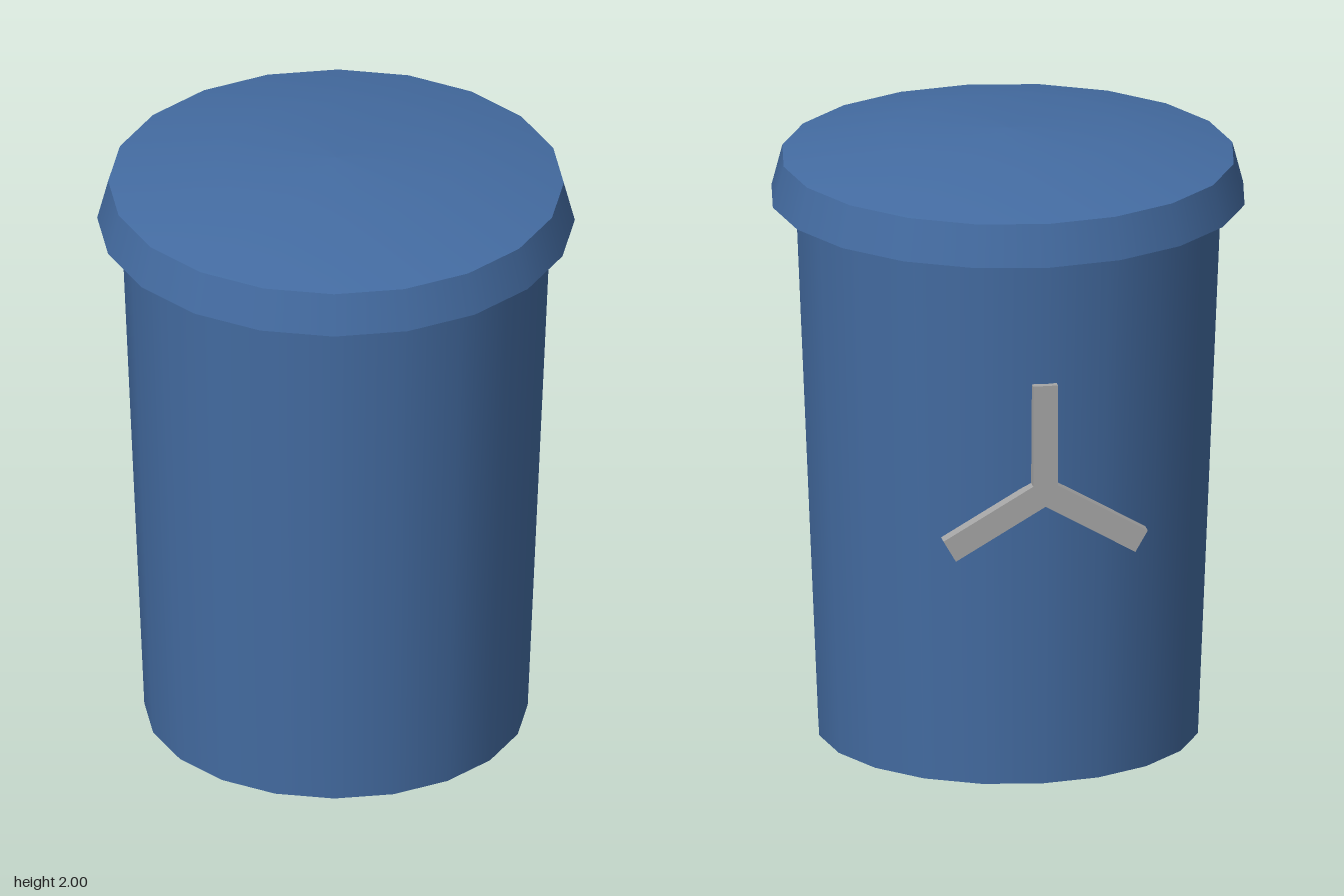
import * as THREE from 'three';

const SIDES = 20;

// Revolved surface, smooth within one profile; separate profiles keep creases sharp
function lathe(name, profile, material) {
  const points = profile.map(([r, y]) => new THREE.Vector2(r, y));
  const mesh = new THREE.Mesh(new THREE.LatheGeometry(points, SIDES), material);
  mesh.name = name;
  return mesh;
}

export function createModel() {
  const blue = new THREE.MeshStandardMaterial({ color: 0x446ca2 });
  blue.name = 'blue plastic';
  const grey = new THREE.MeshStandardMaterial({ color: 0xa6a6a6 });
  grey.name = 'grey metal';

  const model = new THREE.Group();
  model.name = 'lidded bin';

  // Tapered container
  const body = new THREE.Group();
  body.name = 'body';
  body.add(
    lathe('bodyBase', [[0, 0], [0.61, 0]], blue),
    lathe('bodyWall', [[0.61, 0], [0.683, 1.76]], blue),
    lathe('bodyLip', [[0.683, 1.76], [0.695, 1.775]], blue)
  );

  // Overhanging lid with a shallow dome
  const lid = new THREE.Group();
  lid.name = 'lid';
  lid.add(
    lathe('lidUnderside', [[0, 1.775], [0.76, 1.775]], blue),
    lathe('lidRim', [[0.76, 1.775], [0.725, 1.91]], blue),
    lathe('lidDome', [[0.725, 1.91], [0.38, 1.985], [0, 2]], blue)
  );

  // Three-armed bracket on the back: one outline, extruded
  const halfWidth = 0.04, length = 0.358, inner = halfWidth / Math.sin(Math.PI / 3);
  const outline = [];
  for (let i = 0; i < 3; i++) {
    const a = Math.PI / 2 + (i * Math.PI * 2) / 3;
    const dir = new THREE.Vector2(Math.cos(a), Math.sin(a));
    const side = new THREE.Vector2(-dir.y, dir.x);
    const tip = (s) => dir.clone().multiplyScalar(length).addScaledVector(side, s * halfWidth);
    const b = a + Math.PI / 3;
    outline.push(tip(-1), tip(1), new THREE.Vector2(Math.cos(b), Math.sin(b)).multiplyScalar(inner));
  }
  const bracket = new THREE.Mesh(
    new THREE.ExtrudeGeometry(new THREE.Shape(outline), { depth: 0.046, bevelEnabled: false }),
    grey
  );
  bracket.name = 'backBracket';
  bracket.position.set(0, 0.997, -0.686);

  model.add(body, lid, bracket);
  return model;
}
